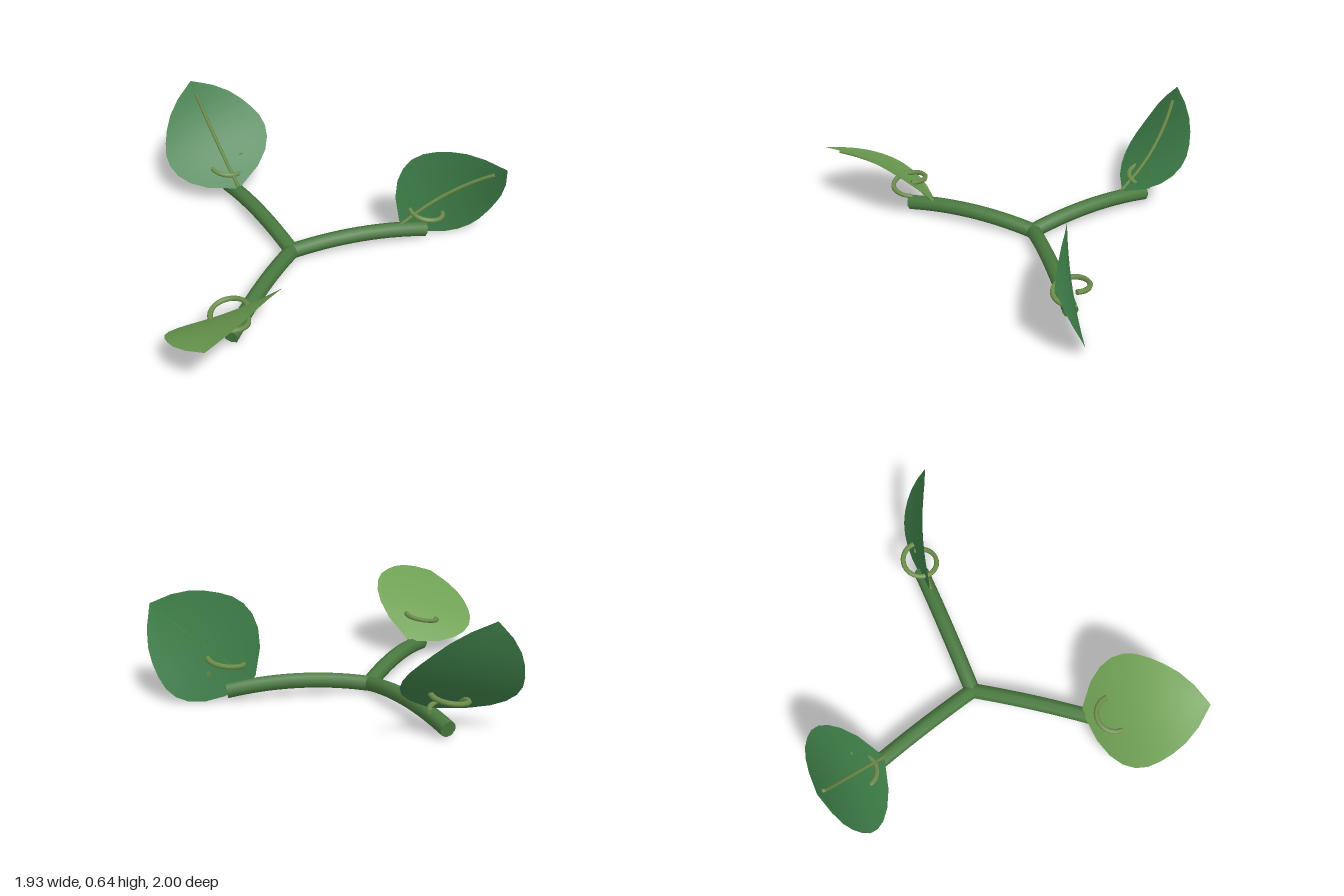
import * as THREE from 'three';

const V = (x, y, z) => new THREE.Vector3(x, y, z);
const material = (color) => new THREE.MeshStandardMaterial({ color, side: THREE.DoubleSide });

const stemGreen = material(0x4a7a40);
const leafGreen = material(0x3f8049);
const youngGreen = material(0x6fa053);
const tendrilGreen = material(0x6d8f4c);

// Half width of the leaf at equal steps from base to tip
const HALF_WIDTH = [0.02, 0.16, 0.24, 0.285, 0.303, 0.298, 0.272, 0.235, 0.185, 0.11, 0];

// Tube along a curve with both ends closed
function cappedTube(name, curve, radius, steps, sides, mat) {
  const group = new THREE.Group();
  group.name = name;
  const tube = new THREE.Mesh(new THREE.TubeGeometry(curve, steps, radius, sides), mat);
  tube.name = name + 'Tube';
  group.add(tube);
  for (const [t, sign] of [[0, -1], [1, 1]]) {
    const cap = new THREE.Mesh(new THREE.CircleGeometry(radius, sides), mat);
    cap.name = name + 'End';
    cap.position.copy(curve.getPoint(t));
    cap.quaternion.setFromUnitVectors(V(0, 0, 1), curve.getTangent(t).multiplyScalar(sign));
    group.add(cap);
  }
  return group;
}

// Bowed leaf blade with a midrib on its hollow side
function makeLeaf(base, tip, across, mat) {
  const group = new THREE.Group();
  group.name = 'leaf';
  const along = tip.clone().sub(base).normalize();
  const side = across.clone().addScaledVector(along, -across.dot(along)).normalize();
  const normal = along.clone().cross(side);
  const surface = (t, v, lift = 0) => {
    const bow = 0.058 * 4 * t * (1 - t) + 0.02 * v * v * Math.sin(Math.PI * t);
    return base.clone().lerp(tip, t)
      .addScaledVector(side, v * HALF_WIDTH[Math.round(t * 10)])
      .addScaledVector(normal, bow - lift);
  };

  const geometry = new THREE.PlaneGeometry(2, 1, 8, HALF_WIDTH.length - 1);
  const pos = geometry.attributes.position;
  for (let i = 0; i < pos.count; i++) {
    const p = surface(pos.getY(i) + 0.5, pos.getX(i));
    pos.setXYZ(i, p.x, p.y, p.z);
  }
  geometry.computeVertexNormals();
  const blade = new THREE.Mesh(geometry, mat);
  blade.name = 'leafBlade';
  group.add(blade);

  const ribPoints = [0, 0.2, 0.4, 0.6, 0.75, 0.88].map((t) => surface(t, 0, 0.01));
  group.add(cappedTube('midrib', new THREE.CatmullRomCurve3(ribPoints), 0.01, 14, 6, tendrilGreen));
  return group;
}

// One-turn rising tendril above the stem end
function makeTendril(x, z) {
  const points = [];
  for (let i = 0; i <= 16; i++) {
    const a = (i / 16) * Math.PI * 2;
    points.push(V(x + 0.092 * Math.cos(a), 0.155 + 0.09 * i / 16, z + 0.092 * Math.sin(a)));
  }
  return cappedTube('tendril', new THREE.CatmullRomCurve3(points), 0.014, 32, 6, tendrilGreen);
}

export function createModel() {
  const model = new THREE.Group();
  model.name = 'vineSprig';
  const hub = V(-0.19, 0.049, -0.055);

  const branches = [
    { name: 'leftBranch', end: V(0.57, 0.06, -0.055), base: V(0.43, 0.12, -0.06),
      tip: V(0.94, 0.5, 0.135), across: V(0.58, -0.81, 0), leaf: leafGreen },
    { name: 'backBranch', end: V(-0.41, 0.06, -0.78), base: V(-0.37, 0.12, -0.64),
      tip: V(-0.555, 0.65, -1.0), across: V(0.95, 0.22, -0.14), leaf: leafGreen },
    { name: 'frontBranch', end: V(-0.64, 0.06, 0.56), base: V(-0.54, 0.12, 0.44),
      tip: V(-0.82, 0.385, 1.0), across: V(0.87, 0.41, 0.19), leaf: youngGreen },
  ];

  for (const b of branches) {
    const branch = new THREE.Group();
    branch.name = b.name;
    // Arched stem
    const bend = hub.clone().lerp(b.end, 0.5).setY(0.128);
    const arch = new THREE.QuadraticBezierCurve3(hub, bend, b.end);
    branch.add(cappedTube('stem', arch, 0.042, 14, 8, stemGreen));
    branch.add(makeLeaf(b.base, b.tip, b.across, b.leaf));
    branch.add(makeTendril(b.end.x, b.end.z));
    model.add(branch);
  }
  return model;
}
